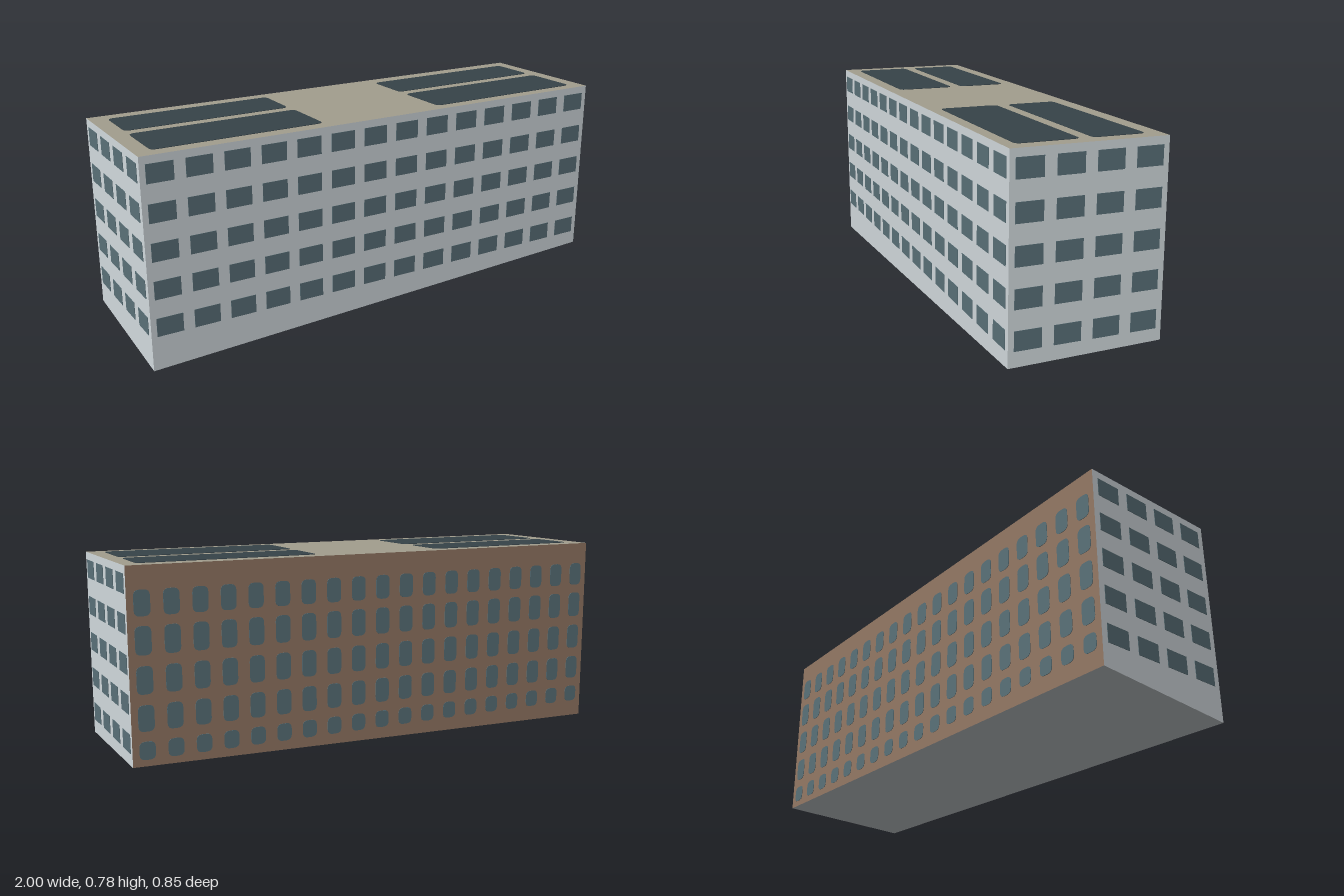
import * as THREE from 'three';
import { mergeGeometries } from 'three/addons/utils/BufferGeometryUtils.js';

const material = (name, color) => {
  const m = new THREE.MeshStandardMaterial({ color });
  m.name = name;
  return m;
};

const TOP = 0.775, PLATE = 0.0015;

// Footprint corners; the base follows sloping ground
const CORNERS = [
  { x: -1, z: 0.131, y: 0 },
  { x: 0.921, z: 0.4225, y: 0.072 },
  { x: 1, z: -0.1245, y: 0.083 },
  { x: -0.914, z: -0.4225, y: 0.04 },
];

// Thin plate centred on (x, y), rising from z = 0; rounded when r > 0
function plate(x, y, w, h, r) {
  if (r === 0) return new THREE.BoxGeometry(w, h, PLATE).translate(x, y, PLATE / 2);
  const a = w / 2, b = h / 2, s = new THREE.Shape();
  s.moveTo(-a + r, -b);
  s.lineTo(a - r, -b).quadraticCurveTo(a, -b, a, -b + r);
  s.lineTo(a, b - r).quadraticCurveTo(a, b, a - r, b);
  s.lineTo(-a + r, b).quadraticCurveTo(-a, b, -a, b - r);
  s.lineTo(-a, -b + r).quadraticCurveTo(-a, -b, -a + r, -b);
  return new THREE.ExtrudeGeometry(s, { depth: PLATE, bevelEnabled: false, curveSegments: 4 }).translate(x, y, 0);
}

// Flat polygon face, corners counter-clockwise from outside
function face(points) {
  const g = new THREE.BufferGeometry();
  g.setAttribute('position', new THREE.Float32BufferAttribute(points.flat(), 3));
  g.setIndex(points.length === 4 ? [0, 1, 2, 0, 2, 3] : [0, 1, 2]);
  const flat = g.toNonIndexed();
  flat.computeVertexNormals();
  return flat;
}

export function createModel() {
  const model = new THREE.Group();
  model.name = 'apartmentBlock';

  const wall = material('pale grey wall', 0xd5dde1);
  const brick = material('brown wall', 0x957965);
  const glass = material('window glass', 0x5b727a);
  const roofing = material('roof', 0xa39e8e);
  const panel = material('dark roof panel', 0x364349);
  const underside = material('underside', 0xc8cdd0);

  const add = (name, geometry, mat) => {
    const mesh = new THREE.Mesh(geometry, mat);
    mesh.name = name;
    model.add(mesh);
    return mesh;
  };

  const low = CORNERS.map(c => [c.x, c.y, c.z]);
  const high = CORNERS.map(c => [c.x, TOP, c.z]);

  // Walls, roof and underside
  ['frontWall', 'leftWall', 'backWall', 'rightWall'].forEach((name, i) => {
    const j = (i + 1) % 4;
    add(name, face([low[i], low[j], high[j], high[i]]), i === 2 ? brick : wall);
  });
  add('roof', face(high), roofing);
  add('base', mergeGeometries([
    face([low[0], low[2], low[1]]),
    face([low[0], low[3], low[2]]),
  ]), underside);

  // Windows: one merged grid per facade, set on the wall that starts at corner i
  const facade = (name, i, columns, span, rows, width, radius) => {
    const a = CORNERS[i], b = CORNERS[(i + 1) % 4];
    const plates = [];
    for (const [bottom, top] of rows) {
      for (let c = 0; c < columns; c++) {
        const x = -span + (2 * span * c) / (columns - 1);
        plates.push(plate(x, (bottom + top) / 2, width, top - bottom, radius));
      }
    }
    const mesh = add(name, mergeGeometries(plates), glass);
    mesh.rotation.y = Math.atan2(a.z - b.z, b.x - a.x);
    mesh.position.set((a.x + b.x) / 2, 0, (a.z + b.z) / 2);
  };
  const squareRows = [0, 1, 2, 3, 4].map(i => [0.127 + i * 0.138, 0.195 + i * 0.138]);
  const backRows = [[0.105, 0.17], [0.205, 0.298], [0.335, 0.433], [0.47, 0.57], [0.603, 0.693]];
  facade('frontWindows', 0, 14, 0.902, squareRows, 0.097, 0);
  facade('leftWindows', 1, 4, 0.208, squareRows, 0.096, 0);
  facade('backWindows', 2, 19, 0.916, backRows, 0.057, 0.021);
  facade('rightWindows', 3, 4, 0.208, squareRows, 0.096, 0);

  // Roof panels: [x min, x max, z min, z max], turned with the building
  const panels = [
    [-0.905, -0.262, -0.226, -0.038],
    [-0.907, -0.258, 0.007, 0.228],
    [0.246, 0.917, -0.217, -0.03],
    [0.244, 0.917, 0.015, 0.235],
  ].map(([x0, x1, z0, z1]) =>
    plate((x0 + x1) / 2, -(z0 + z1) / 2, x1 - x0, z1 - z0, 0.022));
  const roofPanels = add('roofPanels', mergeGeometries(panels), panel);
  roofPanels.rotation.set(-Math.PI / 2, 0, -0.151);
  roofPanels.position.y = TOP;

  return model;
}
